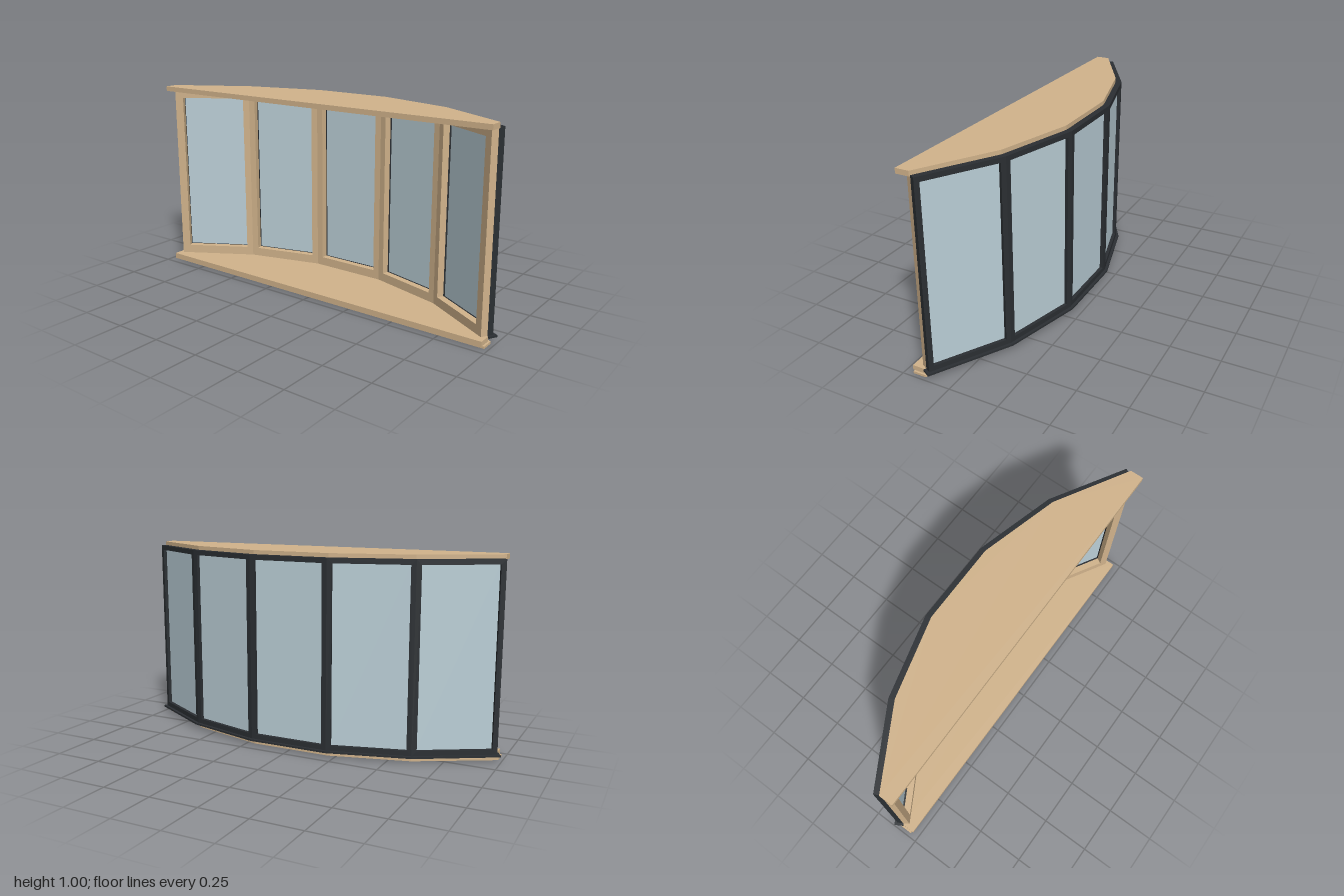
import * as THREE from 'three';

const DEG = Math.PI / 180;
const WIDTH = 0.42;                       // outer width of one window unit
const STEP = 15 * DEG;                    // turn between neighbouring units
const MITRE = Math.tan(STEP / 2);

const wood = new THREE.MeshStandardMaterial({ color: 0xd2b48c });
const cladding = new THREE.MeshStandardMaterial({ color: 0x2b2f33 });
const glass = new THREE.MeshStandardMaterial({ color: 0xbcd0d8 });

// Outer corners of the bow, right half (centre outwards)
const corners = [new THREE.Vector2(WIDTH / 2, -0.2)];
for (let i = 1; i <= 2; i++) {
  const a = STEP * i;
  corners.push(corners[i - 1].clone().add(new THREE.Vector2(Math.cos(a), Math.sin(a)).multiplyScalar(WIDTH)));
}

// The bow line moved inward by d; the free ends may run on by ext
function bowLine(d, ext = 0) {
  const half = corners.map((c, i) => {
    const end = i === 2;
    const b = end ? 2 * STEP : (i + 0.5) * STEP;
    const k = end ? d : d / Math.cos(STEP / 2);
    const e = end ? ext : 0;
    return [c.x - k * Math.sin(b) + e * Math.cos(b), c.y + k * Math.cos(b) + e * Math.sin(b)];
  });
  return [...half.map(([x, z]) => [-x, z]).reverse(), ...half];
}

// Flat horizontal slab from an outline in x and z
function slab(name, outline, y0, y1, material) {
  const shape = new THREE.Shape(outline.map(([x, z]) => new THREE.Vector2(x, -z)));
  const geo = new THREE.ExtrudeGeometry(shape, { depth: y1 - y0, bevelEnabled: false });
  geo.rotateX(-Math.PI / 2).translate(0, y0, 0);
  const mesh = new THREE.Mesh(geo, material);
  mesh.name = name;
  return mesh;
}

// Board with a straight front edge and a back edge following the bow
function board(name, halfWidth, front, inset, y0, y1) {
  const back = bowLine(inset);
  back[0][0] = -halfWidth;
  back[5][0] = halfWidth;
  return slab(name, [[-halfWidth, front], ...back, [halfWidth, front]], y0, y1, wood);
}

// Rectangular ring with an opening; its outer ends are mitred where units meet
function ring(name, material, y0, y1, d0, d1, stile, open0, open1, mitres) {
  const h = WIDTH / 2, o = h - stile;
  const rect = (r, a, b, T) => new T([[-r, a], [r, a], [r, b], [-r, b]].map(p => new THREE.Vector2(...p)));
  const shape = rect(h, y0, y1, THREE.Shape);
  shape.holes.push(rect(o, open0, open1, THREE.Path));
  const geo = new THREE.ExtrudeGeometry(shape, { depth: d1 - d0, bevelEnabled: false });
  geo.translate(0, 0, d0);
  const p = geo.attributes.position;
  for (let i = 0; i < p.count; i++) {
    const x = p.getX(i);
    if (Math.abs(x) < h - 1e-4) continue;
    if (mitres[x < 0 ? 0 : 1]) p.setX(i, x - Math.sign(x) * p.getZ(i) * MITRE);
  }
  geo.computeVertexNormals();
  const mesh = new THREE.Mesh(geo, material);
  mesh.name = name;
  return mesh;
}

function windowUnit(index) {
  const unit = new THREE.Group();
  unit.name = 'windowUnit' + (index + 3);
  const mitres = [index > -2, index < 2];
  unit.add(
    ring('outerFrame', cladding, 0.035, 0.98, 0, 0.03, 0.025, 0.06, 0.955, mitres),
    ring('innerFrame', wood, 0.035, 0.975, 0.03, 0.065, 0.042, 0.08, 0.935, mitres),
    ring('glazingSpacer', cladding, 0.05, 0.965, 0.022, 0.031, 0.042, 0.08, 0.935, [true, true])
  );
  const pane = new THREE.Mesh(new THREE.BoxGeometry(WIDTH - 0.046, 0.9, 0.004), glass);
  pane.name = 'pane';
  pane.position.set(0, 0.5075, 0.02);
  unit.add(pane);

  // Place the unit between its two corners
  const side = Math.sign(index), n = Math.abs(index);
  if (n === 0) unit.position.set(0, 0, -0.2);
  else {
    const mid = corners[n - 1].clone().add(corners[n]).multiplyScalar(0.5);
    unit.position.set(side * mid.x, 0, mid.y);
  }
  unit.rotation.y = -index * STEP;
  return unit;
}

export function createModel() {
  const model = new THREE.Group();
  model.name = 'bowWindow';

  for (let i = -2; i <= 2; i++) model.add(windowUnit(i));

  // Coupling strips at the joints between units
  for (const s of [-1, 1]) {
    for (let i = 0; i < 2; i++) {
      const b = (i + 0.5) * STEP;
      const strip = new THREE.Mesh(new THREE.BoxGeometry(0.04, 0.94, 0.012), cladding);
      strip.name = 'couplingStrip';
      strip.position.set(s * (corners[i].x - 0.031 * Math.sin(b)), 0.509, corners[i].y + 0.031 * Math.cos(b));
      strip.rotation.y = -s * b;
      model.add(strip);
    }
  }

  // Head and seat boards, with a thin base below
  model.add(board('headBoard', 0.97, 0.215, 0.032, 0.975, 1));
  model.add(board('seatBoard', 0.97, 0.215, 0.032, 0.011, 0.035));
  model.add(board('basePanel', 0.98, 0.206, 0.026, 0, 0.011));

  // Drip sill along the outside
  model.add(slab('dripSill', [...bowLine(-0.015, 0.013), ...bowLine(0.032, 0.013).reverse()], 0.026, 0.0352, cladding));
  return model;
}
